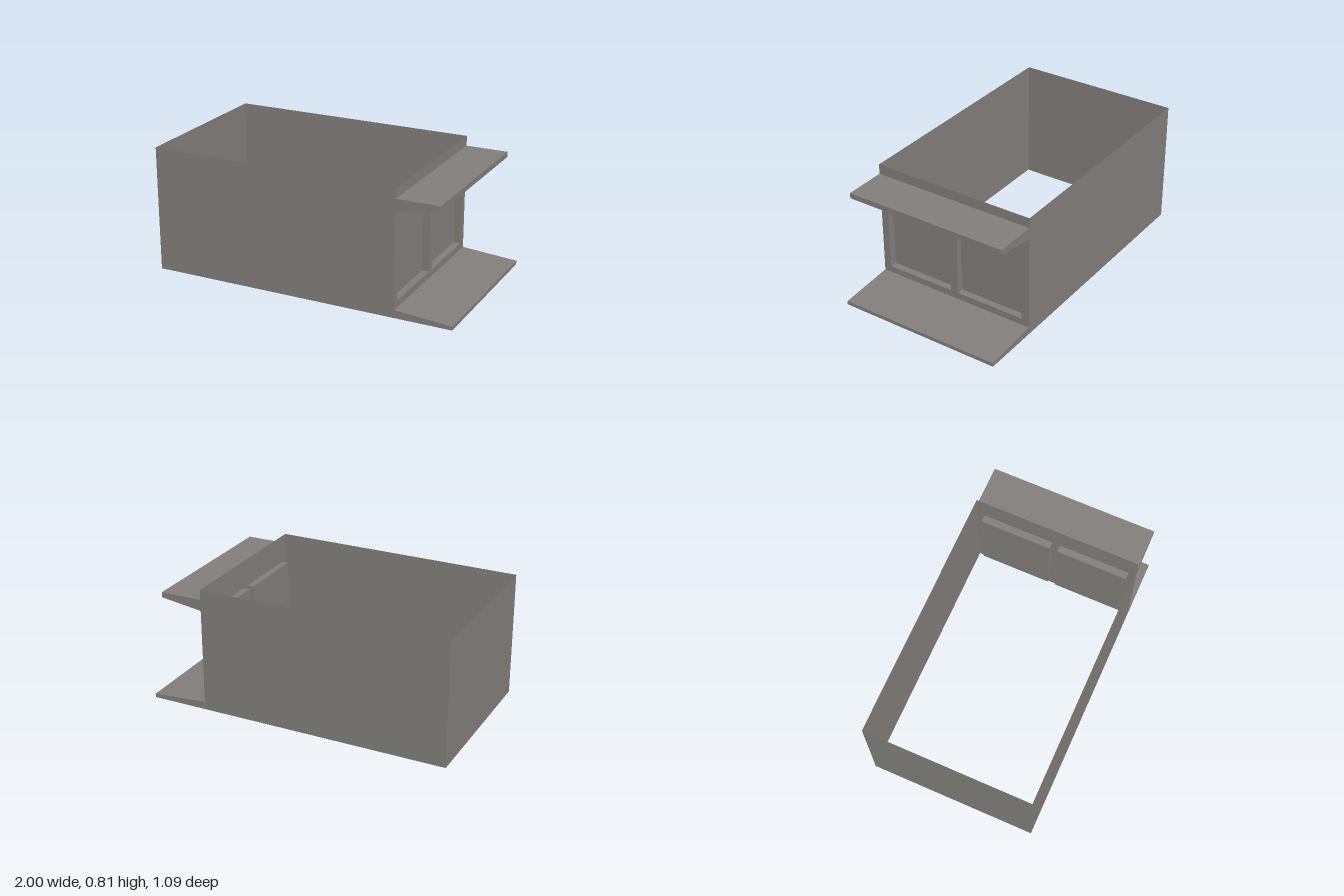
import * as THREE from 'three';

const HALF_DEPTH = 0.543, HEIGHT = 0.813, LEFT = -1, RIGHT = 0.63;

export function createModel() {
  const model = new THREE.Group();
  model.name = 'building';
  const concrete = new THREE.MeshStandardMaterial({ color: 0x807d7a, side: THREE.DoubleSide });
  concrete.name = 'warm grey concrete';

  const add = (name, geometry) => {
    const mesh = new THREE.Mesh(geometry, concrete);
    mesh.name = name;
    model.add(mesh);
    return mesh;
  };

  // Thin long walls, front and back; the shell has no roof or floor
  const length = RIGHT - LEFT;
  for (const side of [1, -1]) {
    const wall = add(side > 0 ? 'frontWall' : 'backWall', new THREE.PlaneGeometry(length, HEIGHT));
    wall.position.set((LEFT + RIGHT) / 2, HEIGHT / 2, side * HALF_DEPTH);
    if (side < 0) wall.rotation.y = Math.PI;
  }

  // Plain end wall
  const endWall = add('plainEndWall', new THREE.PlaneGeometry(HALF_DEPTH * 2, HEIGHT));
  endWall.position.set(LEFT, HEIGHT / 2, 0);
  endWall.rotation.y = -Math.PI / 2;

  // Shop-front wall with two rectangular openings
  const rectangle = (path, x0, y0, x1, y1) =>
    path.moveTo(x0, y0).lineTo(x1, y0).lineTo(x1, y1).lineTo(x0, y1).closePath();
  const facade = new THREE.Shape();
  rectangle(facade, -HALF_DEPTH, 0, HALF_DEPTH, HEIGHT);
  const win = { inner: 0.026, outer: 0.493, bottom: 0.095, top: 0.632, depth: 0.045 };
  const width = win.outer - win.inner, height = win.top - win.bottom;

  for (const side of [1, -1]) {
    const hole = new THREE.Path();
    rectangle(hole, side * win.inner, win.bottom, side * win.outer, win.top);
    facade.holes.push(hole);

    // Recessed window: a shallow box with its outward (+x) face left off
    const box = new THREE.BoxGeometry(win.depth, height, width);
    box.setIndex(Array.from(box.index.array).slice(6));
    box.clearGroups();
    const recess = add(side > 0 ? 'frontWindowRecess' : 'backWindowRecess', box);
    recess.position.set(RIGHT - win.depth / 2, (win.bottom + win.top) / 2,
      side * (win.inner + win.outer) / 2);
  }
  const facadeWall = add('windowWall', new THREE.ShapeGeometry(facade));
  facadeWall.position.x = RIGHT;
  facadeWall.rotation.y = Math.PI / 2;

  // Tapered slabs: canopy above the windows and sloping step below
  const slab = (name, profile) => {
    const shape = new THREE.Shape(profile.map(([x, y]) => new THREE.Vector2(x, y)));
    const geometry = new THREE.ExtrudeGeometry(shape, { depth: HALF_DEPTH * 2, bevelEnabled: false });
    geometry.translate(0, 0, -HALF_DEPTH);
    add(name, geometry);
  };
  slab('canopy', [[RIGHT, 0.675], [0.905, 0.713], [0.905, 0.748], [RIGHT, 0.748]]);
  slab('entranceStep', [[RIGHT, 0], [1, 0], [1, 0.024], [RIGHT, 0.051]]);

  return model;
}
